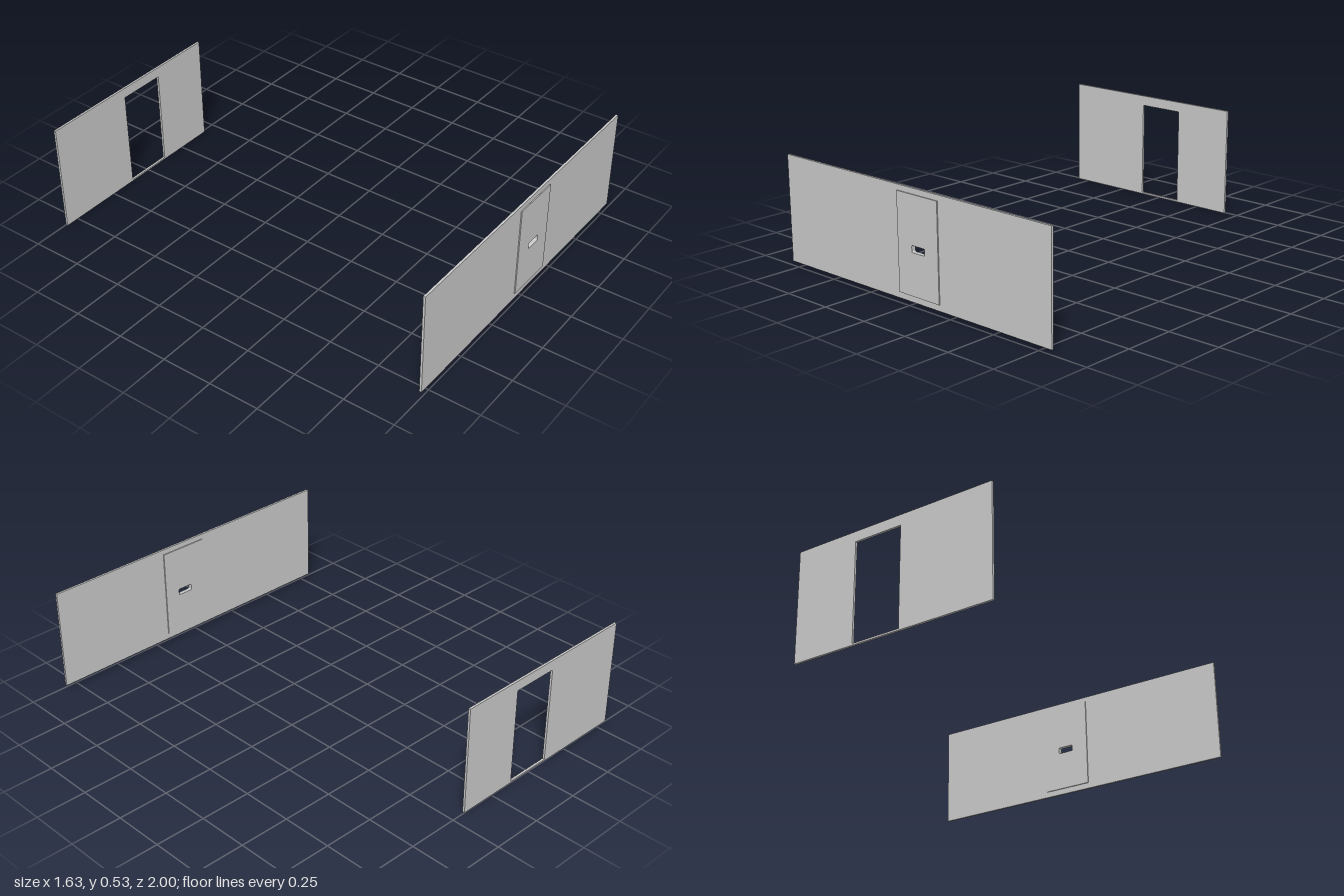
import * as THREE from 'three';

const material = new THREE.MeshStandardMaterial({ color: 0xcccccc, flatShading: true });

// Rectangular outline, optionally with rounded corners
function rect(Type, x0, x1, y0, y1, r = 0) {
  const p = new Type();
  if (r === 0) {
    p.moveTo(x0, y0).lineTo(x1, y0).lineTo(x1, y1).lineTo(x0, y1).closePath();
    return p;
  }
  p.absarc(x1 - r, y0 + r, r, -Math.PI / 2, 0);
  p.absarc(x1 - r, y1 - r, r, 0, Math.PI / 2);
  p.absarc(x0 + r, y1 - r, r, Math.PI / 2, Math.PI);
  p.absarc(x0 + r, y0 + r, r, Math.PI, Math.PI * 1.5);
  p.closePath();
  return p;
}

// Upright slab between z0 and z1 with one opening cut through it
function slab(name, outline, opening, z0, z1) {
  const shape = rect(THREE.Shape, ...outline);
  shape.holes.push(rect(THREE.Path, ...opening));
  const geometry = new THREE.ExtrudeGeometry(shape, {
    depth: z1 - z0, bevelEnabled: false, curveSegments: 4,
  });
  geometry.translate(0, 0, z0);
  const mesh = new THREE.Mesh(geometry, material);
  mesh.name = name;
  return mesh;
}

export function createModel() {
  const group = new THREE.Group();
  group.name = 'slidingDoorWalls';

  const doorway = [-0.061, 0.184, 0.047, 0.496];
  const handleSlot = [0.025, 0.104, 0.242, 0.273, 0.006];

  // Long front wall, filled by a slightly thicker door with a slot handle
  group.add(slab('frontWall', [-0.797, 0.815, 0.018, 0.522], doorway, 0.984, 0.995));
  group.add(slab('door', doorway, handleSlot, 0.979, 1.0));

  // Short back wall with an open doorway and a low sill
  group.add(slab('backWall', [-0.817, 0.177, 0, 0.532], [-0.365, -0.13, 0.008, 0.482], -1.0, -0.989));

  return group;
}
